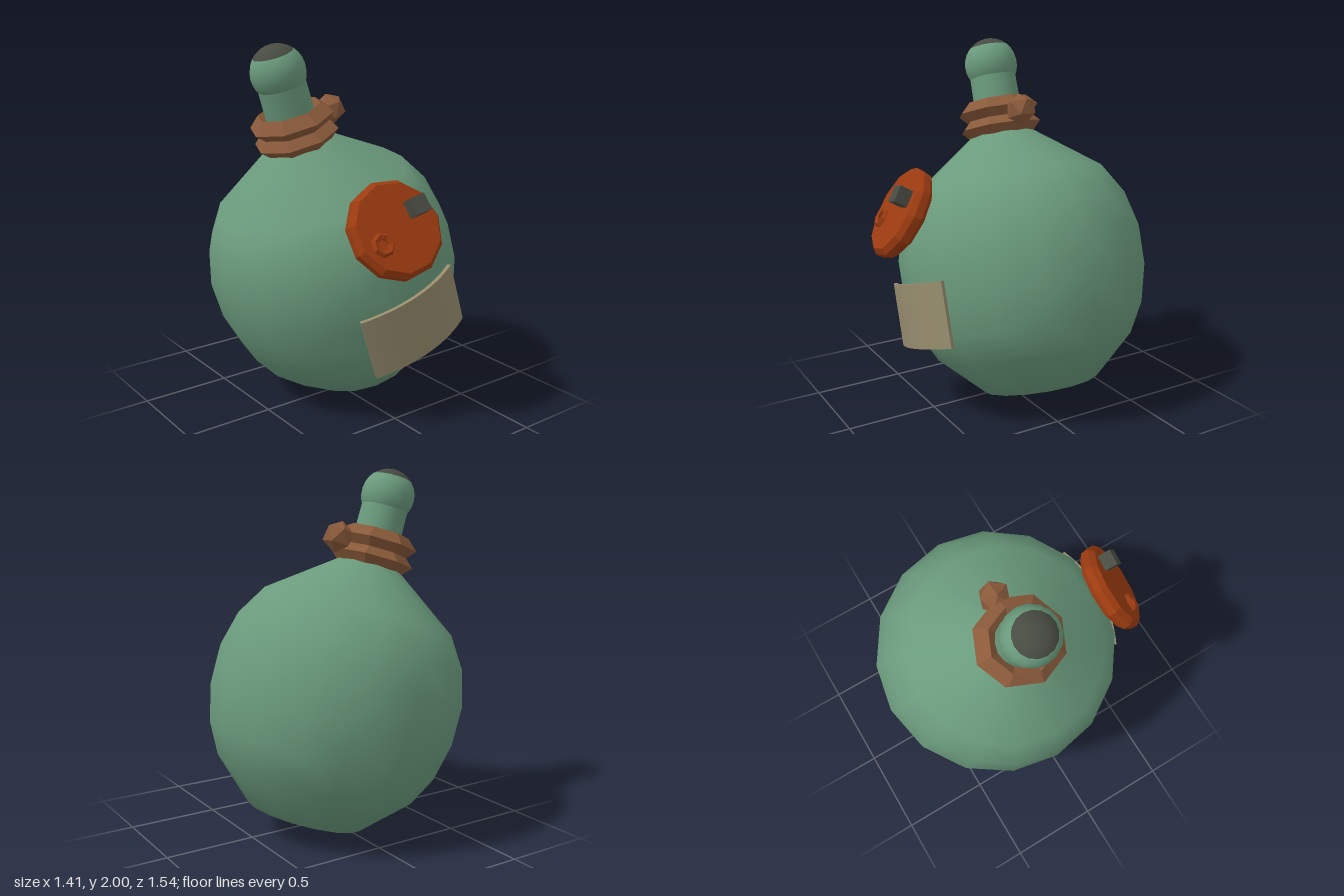
import * as THREE from 'three';

const paint = (name, color) => {
  const m = new THREE.MeshStandardMaterial({ color });
  m.name = name;
  return m;
};

// Separate the faces so that each one is shaded flat
function faceted(geometry) {
  const g = geometry.index ? geometry.toNonIndexed() : geometry;
  g.computeVertexNormals();
  return g;
}

function add(parent, name, geometry, material, x = 0, y = 0, z = 0) {
  const mesh = new THREE.Mesh(geometry, material);
  mesh.name = name;
  mesh.position.set(x, y, z);
  parent.add(mesh);
  return mesh;
}

const lathe = (pairs, sides) =>
  new THREE.LatheGeometry(pairs.map(([r, y]) => new THREE.Vector2(r, y)), sides);

export function createModel() {
  const glass = paint('green glass', 0x6a9a7c);
  const rope = paint('brown rope', 0x8a5a3a);
  const wax = paint('orange wax', 0x9c3b10);
  const paper = paint('tan paper', 0x948a6c);
  const dark = paint('dark grey', 0x484b42);

  const model = new THREE.Group();
  model.name = 'bottle';

  // Everything on the bottle axis leans over together
  const bottle = new THREE.Group();
  bottle.name = 'leaningBottle';
  bottle.position.set(0.21, 0.105, -0.077);
  bottle.rotation.z = 0.307;
  model.add(bottle);

  // Round body with a flat base
  add(bottle, 'body', lathe([
    [0, 0], [0.325, 0], [0.555, 0.22], [0.642, 0.385], [0.69, 0.59],
    [0.692, 0.807], [0.642, 1.0], [0.537, 1.17], [0.17, 1.44], [0.13, 1.46],
  ], 16), glass);

  // Neck, rounded head and its dark cap
  add(bottle, 'neck', new THREE.CylinderGeometry(0.13, 0.136, 0.4, 16, 1, true), glass, 0, 1.62, 0);
  const capAngle = 0.83;
  add(bottle, 'head',
    new THREE.SphereGeometry(0.15, 16, 10, 0, Math.PI * 2, capAngle, Math.PI - capAngle), glass, 0, 1.836, 0);
  add(bottle, 'headCap',
    new THREE.SphereGeometry(0.15, 16, 4, 0, Math.PI * 2, 0, capAngle), dark, 0, 1.836, 0);

  // Two rope coils round the neck, tied with a knot
  for (const y of [1.475, 1.57]) {
    const coil = faceted(new THREE.TorusGeometry(0.175, 0.06, 4, 8).rotateX(Math.PI / 2));
    add(bottle, 'ropeCoil', coil, rope, 0, y, 0);
  }
  const knot = add(model, 'ropeKnot', faceted(new THREE.IcosahedronGeometry(0.088, 0)), rope, -0.015, 1.64, -0.077);
  knot.rotation.z = -0.22;

  // Curved paper label wrapped round the front
  const arc = new THREE.Shape();
  const mid = -Math.PI / 2, half = 0.448;
  arc.absarc(0, 0, 0.735, mid - half, mid + half, false);
  arc.absarc(0, 0, 0.713, mid + half, mid - half, true);
  const labelGeometry = new THREE.ExtrudeGeometry(arc, { depth: 0.345, bevelEnabled: false, curveSegments: 10 });
  labelGeometry.rotateX(-Math.PI / 2);
  add(bottle, 'label', labelGeometry, paper, -0.006, 0.343, 0);

  // Wax seal lying on the shoulder
  const seal = new THREE.Group();
  seal.name = 'seal';
  seal.position.set(-0.115, 1.12, 0.605);
  seal.rotation.set(-0.53, -0.17, 0, 'YXZ');
  model.add(seal);
  const discGeometry = lathe([
    [0, -0.05], [0.225, -0.05], [0.26, -0.02], [0.26, 0.02], [0.235, 0.05], [0, 0.05],
  ], 11).rotateX(Math.PI / 2);
  add(seal, 'sealDisc', faceted(discGeometry), wax);
  add(seal, 'sealRing', faceted(new THREE.TorusGeometry(0.045, 0.02, 5, 7)), wax, -0.112, -0.077, 0.052);
  const stud = add(seal, 'sealStud', new THREE.BoxGeometry(0.09, 0.09, 0.09), dark, 0.111, 0.087, 0.08);
  stud.rotation.z = 0.25;

  return model;
}
